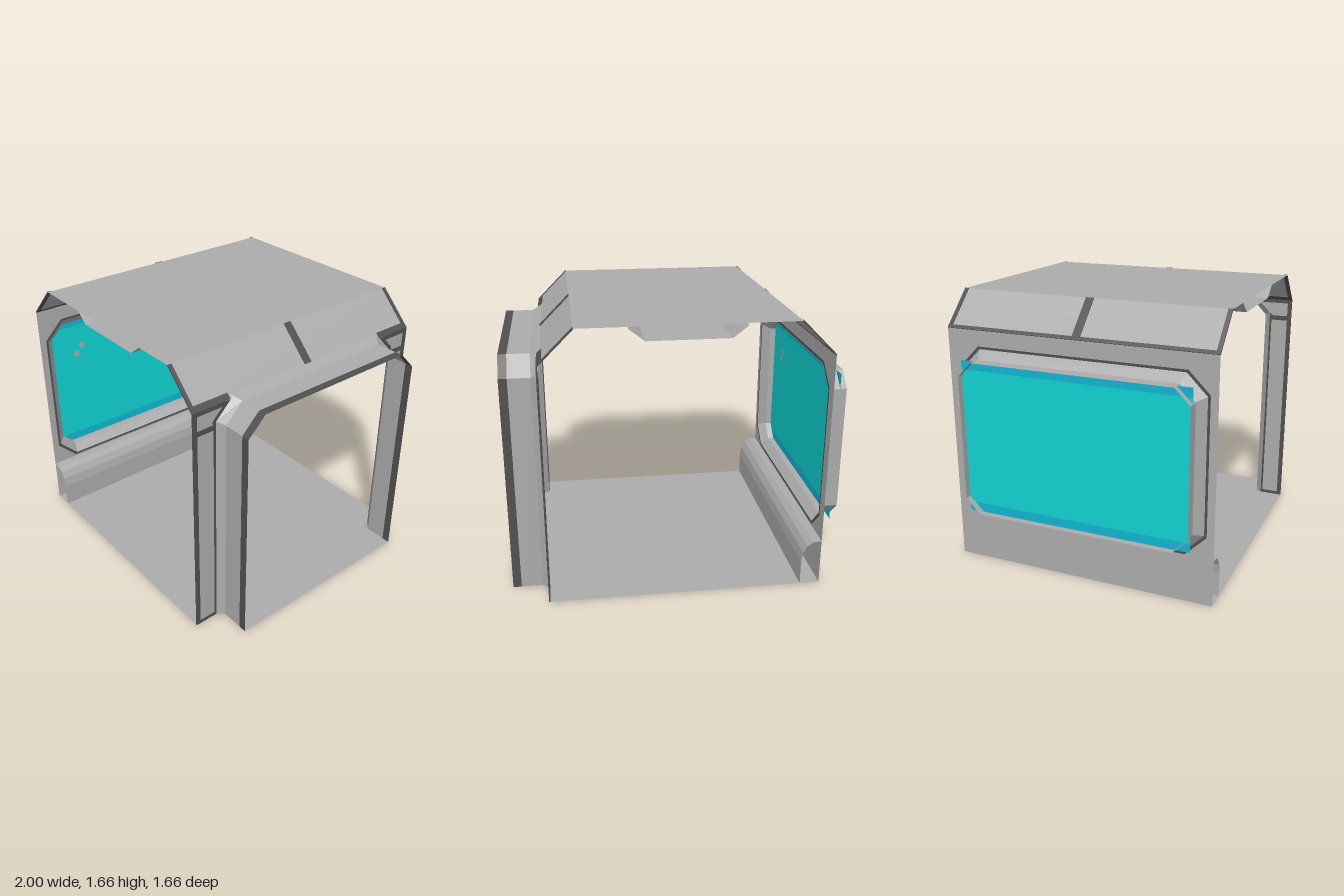
import * as THREE from 'three';

const mat = (name, color) => {
  const m = new THREE.MeshStandardMaterial({ color, side: THREE.DoubleSide });
  m.name = name;
  return m;
};

export function createModel() {
  const root = new THREE.Group();
  root.name = 'corridorSection';
  const gray = mat('panel gray', 0xababab);
  const dark = mat('seam dark gray', 0x505050);
  const cyan = mat('glass cyan', 0x10d2d2);
  const blue = mat('glass edge blue', 0x12b4d0);

  const add = (name, geometry, material, parent = root) => {
    const m = new THREE.Mesh(geometry, material);
    m.name = name;
    parent.add(m);
    return m;
  };

  // Flat-shaded sheet joining matching cross-sections of [x, y, z] points
  const loft = (sections) => {
    const pos = [];
    for (let s = 0; s < sections.length - 1; s++) {
      const a = sections[s], b = sections[s + 1];
      for (let i = 0; i < a.length - 1; i++)
        pos.push(...a[i], ...b[i], ...b[i + 1], ...a[i], ...b[i + 1], ...a[i + 1]);
    }
    const g = new THREE.BufferGeometry();
    g.setAttribute('position', new THREE.Float32BufferAttribute(pos, 3));
    g.computeVertexNormals();
    return g;
  };
  // Profile of [x, y] points swept along z
  const sweep = (profile, z0, z1) =>
    loft([z0, z1].map((z) => profile.map(([x, y]) => [x, y, z])));
  // Flat sheet across a wall, outlined by [z, y] points
  const wallSheet = (x, outline, hole) => {
    const v = (p) => p.map(([z, y]) => new THREE.Vector2(z, y));
    const shape = new THREE.Shape(v(outline));
    if (hole) shape.holes.push(new THREE.Path(v(hole)));
    return new THREE.ShapeGeometry(shape).rotateY(-Math.PI / 2).translate(x, 0, 0);
  };
  const rect = (z0, z1, y0, y1) => [[z0, y0], [z1, y0], [z1, y1], [z0, y1]];
  // Rectangle with cut corners
  const octagon = (z0, z1, y0, y1, c) => [
    [z0 + c, y0], [z1 - c, y0], [z1, y0 + c], [z1, y1 - c],
    [z1 - c, y1], [z0 + c, y1], [z0, y1 - c], [z0, y0 + c]];
  const at = (x, outline) => outline.map(([z, y]) => [x, y, z]);
  const closed = (p) => [...p, p[0]];
  // Thin seam plate on a wall
  const seam = (x, z0, z1, y0, y1) =>
    add('wallSeam', new THREE.BoxGeometry(0.008, y1 - y0, z1 - z0)
      .translate(x, (y0 + y1) / 2, (z0 + z1) / 2), dark);

  const L = -0.87, R = 0.78, Z = 0.83, EAVE = 1.46, TOP = 1.66;

  // Floor, with its threshold into the doorway, and ceiling
  add('floor', sweep([[L, 0], [R, 0]], -Z, Z), gray);
  add('threshold', sweep([[R, 0], [1, 0]], -0.64, 0.64), gray);
  add('ceiling', sweep([[L + 0.2, TOP], [R - 0.2, TOP]], -Z, Z), gray);

  // Sloped ceiling edges with dark seams
  for (const [edge, s] of [[L, -1], [R, 1]]) {
    const slope = new THREE.Group();
    slope.name = s < 0 ? 'rightSlope' : 'leftSlope';
    root.add(slope);
    add('slopePanel', sweep([[edge - s * 0.2, TOP], [edge, EAVE]], -Z, Z), gray, slope);
    // u runs from the eave (0) up to the ceiling (1)
    const slopeSeam = (u0, u1, z0, z1) => {
      const u = (u0 + u1) / 2;
      add('slopeSeam', new THREE.BoxGeometry(0.008, (u1 - u0) * 0.283, z1 - z0)
        .rotateZ(s * Math.PI / 4)
        .translate(edge - s * 0.2 * u, EAVE + 0.2 * u, (z0 + z1) / 2), dark, slope);
    };
    slopeSeam(0.08, 1, -0.025, 0.025);
    slopeSeam(0, 1, -Z, -0.805);
    slopeSeam(0, 1, 0.805, Z);
    if (s < 0) slopeSeam(0, 0.08, -Z, Z);
    else {
      slopeSeam(0, 0.13, -Z, -0.58);
      slopeSeam(0, 0.13, 0.58, Z);
    }
  }

  // Window wall with cut-corner opening and seam ring
  const ringOuter = octagon(-0.755, 0.785, 0.295, 1.365, 0.125);
  const flareOuter = octagon(-0.74, 0.77, 0.31, 1.35, 0.12);
  const tunnel = octagon(-0.69, 0.72, 0.36, 1.3, 0.09);
  add('windowWall', wallSheet(L, rect(-Z, Z, 0, EAVE), ringOuter), gray);
  add('windowSeam', wallSheet(L, ringOuter, flareOuter), dark);
  add('windowFlare', loft([at(L, closed(flareOuter)), at(-0.92, closed(tunnel))]), gray);
  add('windowFrame', loft([at(-0.92, closed(tunnel)), at(-1, closed(tunnel))]), gray);

  // Window glass with bluer bands and two small spots
  add('glass', wallSheet(-0.96, rect(-0.69, 0.72, 0.415, 1.245)), cyan);
  add('glassBandTop', wallSheet(-0.96, rect(-0.69, 0.72, 1.245, 1.3)), blue);
  add('glassBandBottom', wallSheet(-0.96, rect(-0.69, 0.72, 0.36, 0.415)), blue);
  for (const [z, y] of [[0.48, 1.09], [0.525, 1.035]])
    add('glassSpot', new THREE.CircleGeometry(0.023, 10).rotateY(Math.PI / 2)
      .translate(-0.956, y, z), gray);

  // Rounded skirting under the window
  add('skirting', sweep([[L, 0.285], [-0.82, 0.28], [-0.785, 0.255],
    [-0.76, 0.21], [-0.75, 0.15], [-0.75, 0]], -Z, Z), gray);

  // Door wall posts and their seams
  for (const s of [-1, 1]) {
    add('doorPost', wallSheet(R, [[s * Z, 0], [s * Z, EAVE], [s * 0.58, EAVE],
      [s * 0.68, 1.36], [s * 0.68, 0]]), gray);
    const band = (a, b, y0, y1) => seam(R, Math.min(s * a, s * b), Math.max(s * a, s * b), y0, y1);
    band(0.802, Z, 0, EAVE);
    band(0.68, 0.692, 0, 1.36);
    band(0.68, Z, 1.315, 1.345);
    band(0.68, Z, 0, 0.02);
    band(0.61, Z, 1.435, EAVE);
    add('doorCornerSeam', wallSheet(R + 0.004, [[s * 0.68, 1.36], [s * 0.58, EAVE],
      [s * 0.61, EAVE], [s * 0.7, 1.37], [s * 0.7, 1.34], [s * 0.68, 1.34]]), dark);
  }

  // Doorway: flare, deep frame and dark outer rim
  const arch = (w, h, c, x, xTop = x) => [
    [x, 0, w], [x, h - c, w], [xTop, h, w - c],
    [xTop, h, c - w], [x, h - c, -w], [x, 0, -w]];
  add('doorFlare', loft([arch(0.68, 1.478, 0.115, R, 0.762), arch(0.64, 1.45, 0.11, 0.82)]), gray);
  add('doorFrame', loft([0.82, 0.95].map((x) => arch(0.64, 1.45, 0.11, x))), gray);
  add('doorRim', loft([0.95, 1].map((x) => arch(0.64, 1.45, 0.11, x))), dark);

  // Shallow light trough under the ceiling, with glowing inserts
  const c = -0.045;
  add('lightTrough', sweep([[c - 0.33, 1.64], [c - 0.24, 1.57],
    [c + 0.24, 1.57], [c + 0.33, 1.64]], -0.8, 0.8), gray);
  for (const z of [-0.55, 0.55])
    add('lightInsert', sweep([[c + 0.25, 1.573], [c + 0.33, 1.635]], z - 0.09, z + 0.09), cyan);

  return root;
}
